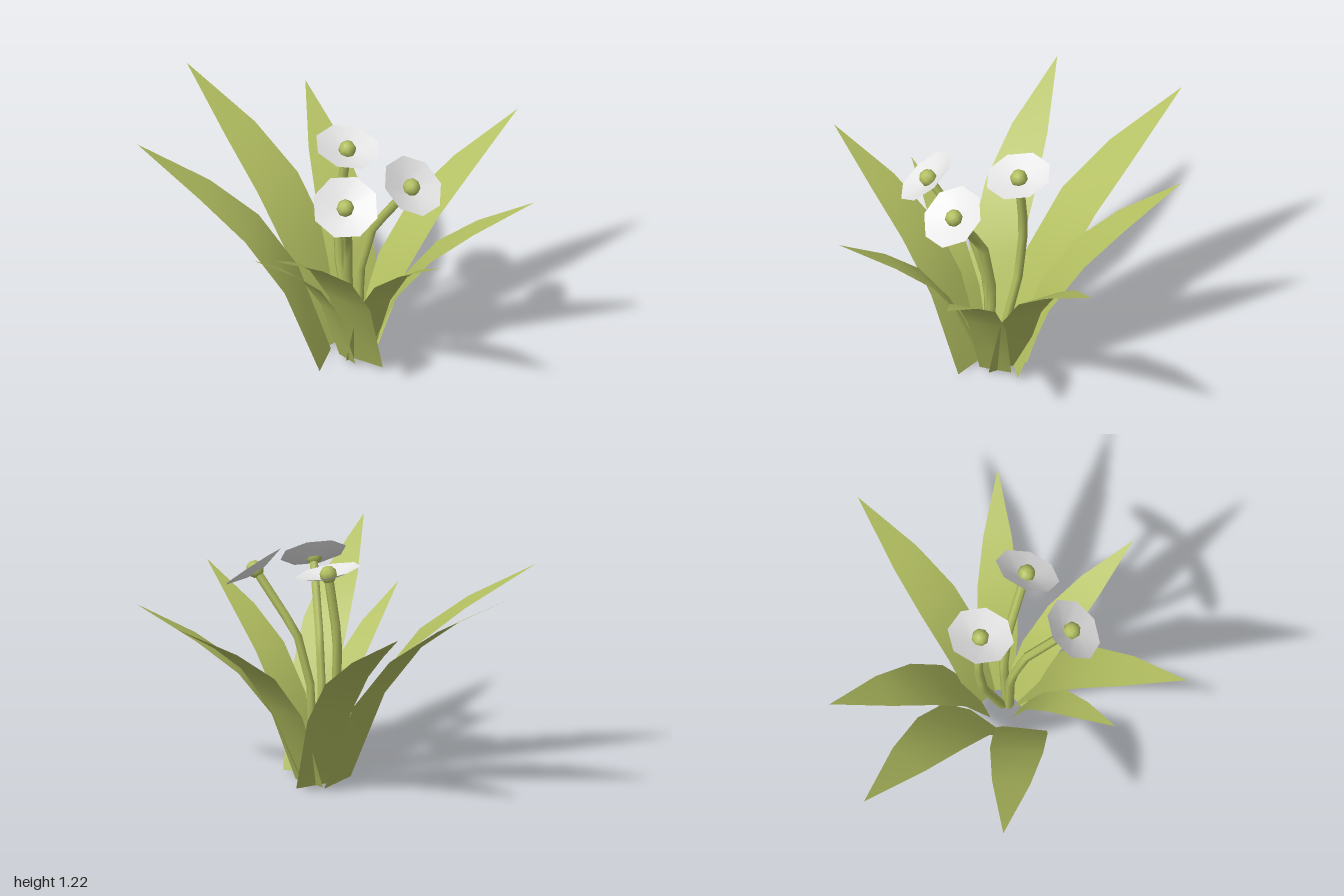
import * as THREE from 'three';

const green = new THREE.MeshStandardMaterial({ color: 0xb2be60, side: THREE.DoubleSide });
green.name = 'leaf green';
const white = new THREE.MeshStandardMaterial({ color: 0xf2f2f2, side: THREE.DoubleSide });
white.name = 'petal white';

// Arching blade: [fraction of reach, fraction of height, fraction of half width]
const BLADE = [[0, 0, 0.8], [0.18, 0.4, 0.97], [0.39, 0.64, 0.97], [0.64, 0.81, 0.7], [1, 1, 0]];

// [base x, base z, tip x, tip y, tip z, half width]
const LEAVES = [
  [0.07, 0.03, -1.0, 1.21, -0.05, 0.148],
  [0.15, -0.07, -0.6, 1.05, -0.51, 0.13],
  [0.19, -0.05, 0.42, 1.07, -0.98, 0.12],
  [0.24, -0.03, 0.96, 0.97, -0.48, 0.105],
  [0.25, 0.06, 1.0, 0.97, 0.31, 0.1],
  [0.31, 0.08, 0.46, 1.11, 0.97, 0.125],
  [0.22, 0.12, 0.13, 0.87, 0.75, 0.078],
  [0.14, 0.2, -0.75, 1.15, 0.63, 0.14],
];

// Stem path, flower rim centre and facing direction
const FLOWERS = [
  { stem: [[0.19, 0, 0.03], [0.06, 0.5, 0], [0.04, 0.8, -0.02], [0.085, 1.13, -0.035]],
    at: [0.09, 1.16, -0.035], face: [0.23, 0.97, 0] },
  { stem: [[0.22, 0, 0.04], [0.22, 0.5, 0.02], [0.29, 0.78, 0], [0.505, 1.08, -0.03]],
    at: [0.53, 1.11, -0.03], face: [0.63, 0.78, 0] },
  { stem: [[0.21, 0, 0.06], [0.19, 0.45, 0.08], [0.24, 0.74, 0.14], [0.375, 1.07, 0.315]],
    at: [0.39, 1.1, 0.335], face: [0.45, 0.77, 0.45] },
];

function leafGeometry([bx, bz, tx, ty, tz, half]) {
  const dx = tx - bx, dz = tz - bz, len = Math.hypot(dx, dz);
  const sx = dz / len, sz = -dx / len;
  const pos = [], index = [];
  BLADE.forEach(([r, h, w], i) => {
    const x = bx + dx * r, y = 0.01 + (ty - 0.01) * h, z = bz + dz * r, s = half * w;
    if (i === BLADE.length - 1) {
      pos.push(x, y, z);
      index.push(2 * i - 2, 2 * i - 1, 2 * i);
      return;
    }
    pos.push(x - sx * s, y, z - sz * s, x + sx * s, y, z + sz * s);
    if (i > 0) {
      const a = 2 * i - 2;
      index.push(a, a + 1, a + 2, a + 1, a + 3, a + 2);
    }
  });
  const g = new THREE.BufferGeometry();
  g.setAttribute('position', new THREE.Float32BufferAttribute(pos, 3));
  g.setIndex(index);
  g.computeVertexNormals();
  return g;
}

function add(parent, name, geometry, material) {
  const mesh = new THREE.Mesh(geometry, material);
  mesh.name = name;
  parent.add(mesh);
  return mesh;
}

export function createModel() {
  const model = new THREE.Group();
  model.name = 'floweringPlant';

  // Leaf rosette
  LEAVES.forEach((leaf, i) => add(model, `leaf${i + 1}`, leafGeometry(leaf), green));

  FLOWERS.forEach(({ stem, at, face }, i) => {
    // Bent stem made of straight runs
    const path = new THREE.CurvePath();
    const pts = stem.map((p) => new THREE.Vector3(...p));
    for (let k = 1; k < pts.length; k++) path.add(new THREE.LineCurve3(pts[k - 1], pts[k]));
    add(model, `stem${i + 1}`, new THREE.TubeGeometry(path, 9, 0.024, 6), green);

    // Shallow eight-sided dish with a round centre
    const flower = new THREE.Group();
    flower.name = `flower${i + 1}`;
    const profile = [[0, -0.036], [0.06, -0.03], [0.172, 0]].map((p) => new THREE.Vector2(...p));
    const petals = add(flower, 'petals', new THREE.LatheGeometry(profile, 8), white);
    petals.rotation.y = Math.PI / 8;
    const centre = add(flower, 'flowerCentre', new THREE.SphereGeometry(0.046, 8, 5), green);
    centre.position.y = -0.015;
    flower.position.set(...at);
    flower.quaternion.setFromUnitVectors(
      new THREE.Vector3(0, 1, 0), new THREE.Vector3(...face).normalize());
    model.add(flower);
  });

  return model;
}
